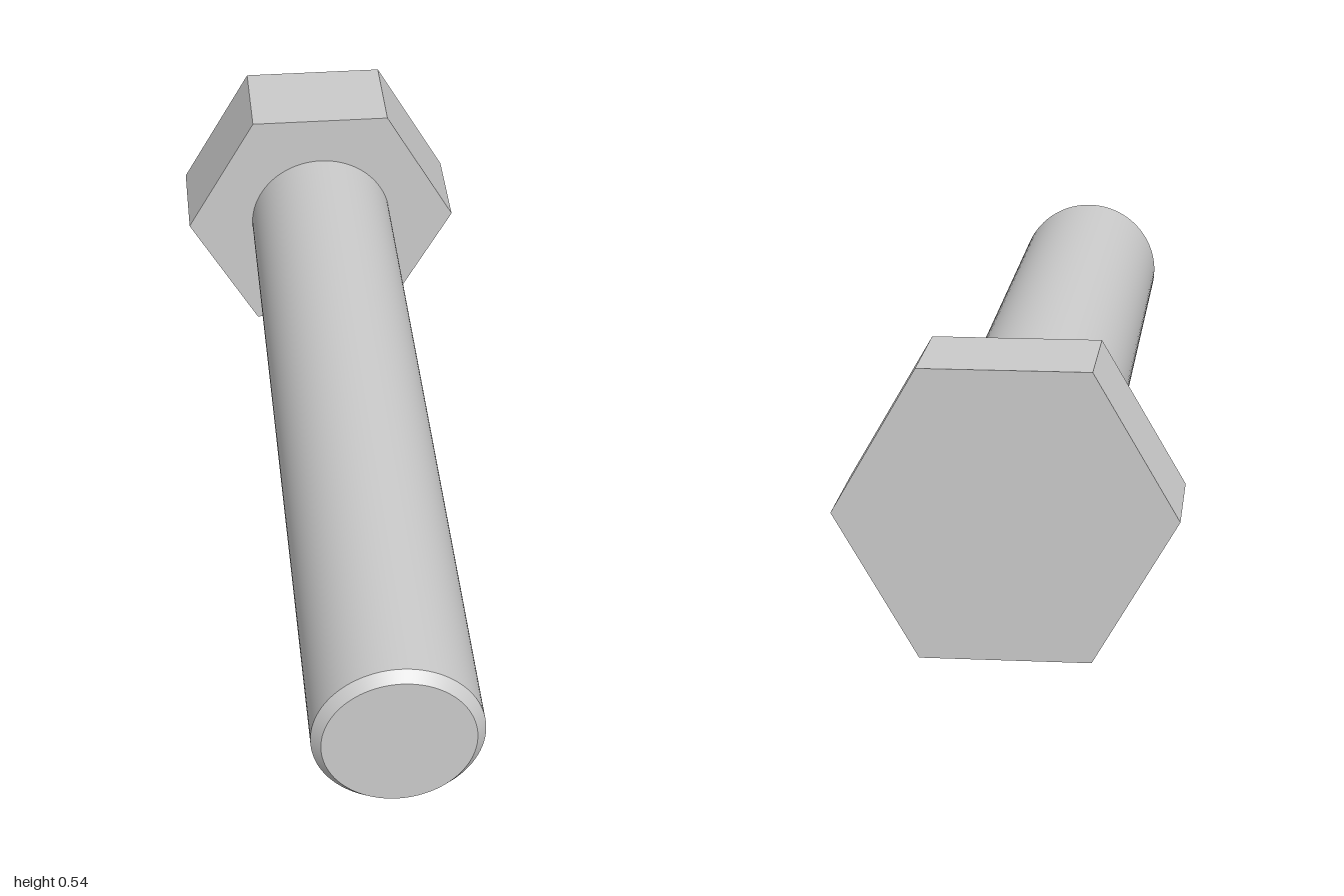
import * as THREE from 'three';

const AXIS_Y = 0.27;      // height of the bolt axis
const HEAD_R = 0.312;     // hexagon corner radius
const SHANK_R = 0.163;
const TIP_R = 0.145;
const SEGMENTS = 96;

// Cylinder lying along z, from zBack to zFront
function zCylinder(name, rFront, rBack, zBack, zFront, sides, material, open = false) {
  const geometry = new THREE.CylinderGeometry(
    rFront, rBack, zFront - zBack, sides, 1, open, Math.PI / 2);
  geometry.rotateX(Math.PI / 2);
  const mesh = new THREE.Mesh(geometry, material);
  mesh.name = name;
  mesh.position.set(0, AXIS_Y, (zBack + zFront) / 2);
  return mesh;
}

export function createModel() {
  const smooth = new THREE.MeshStandardMaterial({ color: 0xcccccc });
  const faceted = new THREE.MeshStandardMaterial({ color: 0xcccccc, flatShading: true });

  const bolt = new THREE.Group();
  bolt.name = 'hexBolt';

  // Hexagonal head with flats at top and bottom
  bolt.add(zCylinder('head', HEAD_R, HEAD_R, -1, -0.773, 6, faceted));

  // Plain round shank
  bolt.add(zCylinder('shank', SHANK_R, SHANK_R, -0.773, 0.98, SEGMENTS, smooth, true));

  // Chamfered tip with its flat end face
  const tip = zCylinder('chamferedTip', TIP_R, SHANK_R, 0.98, 1, SEGMENTS, smooth);
  bolt.add(tip);

  return bolt;
}
